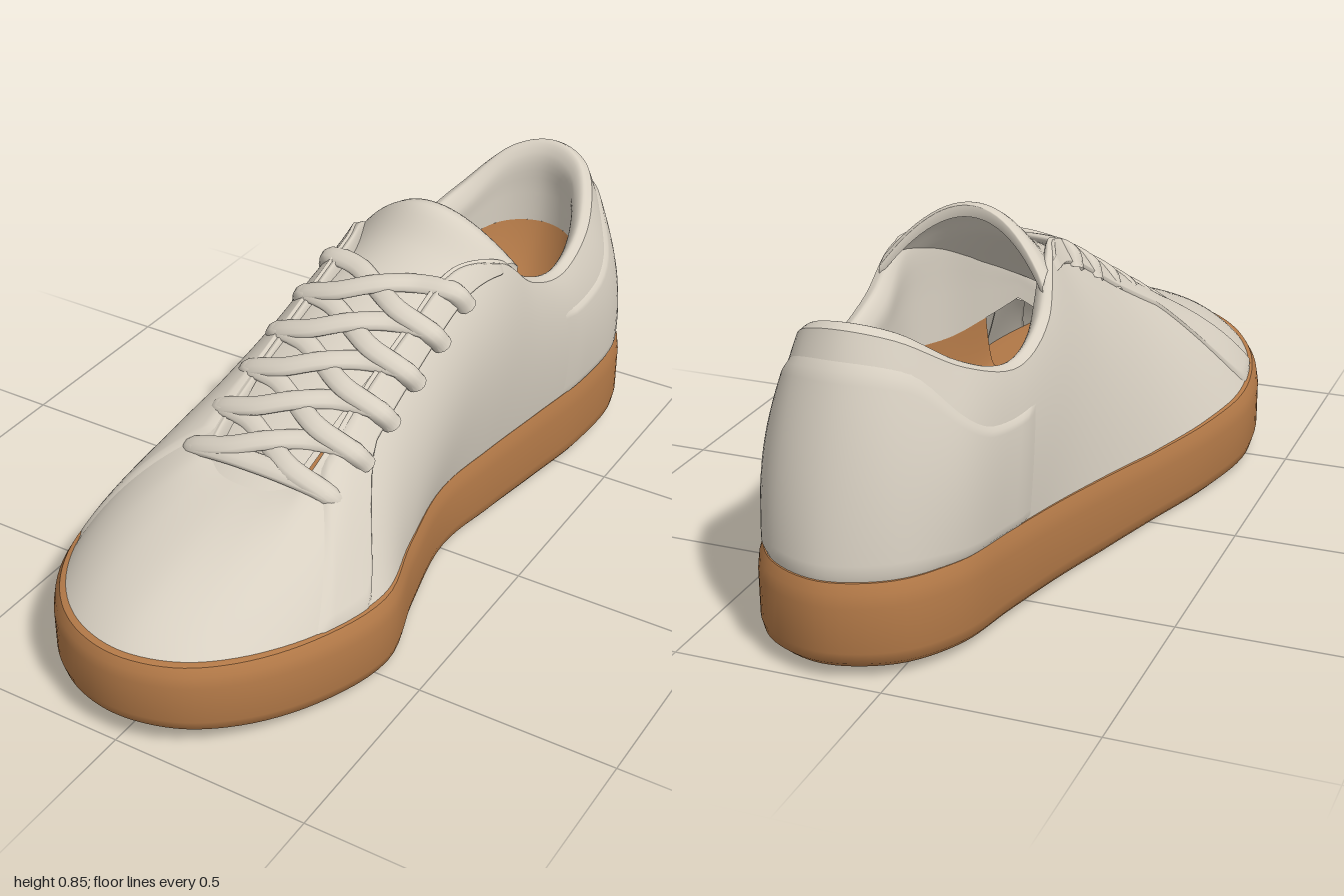
import * as THREE from 'three';
import { mergeVertices, toCreasedNormals } from 'three/addons/utils/BufferGeometryUtils.js';

const V = (x, y, z) => new THREE.Vector3(x, y, z);
const lerp = THREE.MathUtils.lerp;
const smooth = THREE.MathUtils.smoothstep;

// Stations run from toe (first) to heel (last).
// Sole outline: z, left x, right x
const OUTLINE = [
  [1, 0, 0], [0.965, -0.14, 0.14], [0.87, -0.26, 0.25], [0.7, -0.36, 0.348], [0.47, -0.405, 0.402],
  [0.25, -0.37, 0.342], [0, -0.293, 0.29], [-0.2, -0.235, 0.315], [-0.4, -0.185, 0.352],
  [-0.6, -0.145, 0.386], [-0.8, -0.105, 0.382], [-0.94, -0.01, 0.3], [-1, 0.15, 0.15],
];
// Upper at half height: z, left x, right x, y
const MIDDLE = [
  [0.79, 0.01, 0.01, 0.338], [0.755, -0.11, 0.115, 0.337], [0.68, -0.195, 0.2, 0.337], [0.55, -0.26, 0.27, 0.345],
  [0.37, -0.252, 0.275, 0.395], [0.17, -0.215, 0.285, 0.46], [-0.05, -0.182, 0.318, 0.52], [-0.21, -0.175, 0.345, 0.5],
  [-0.37, -0.168, 0.362, 0.44], [-0.57, -0.14, 0.383, 0.42], [-0.77, -0.09, 0.365, 0.45],
  [-0.895, 0.02, 0.275, 0.48], [-0.935, 0.15, 0.15, 0.48],
];
// Edge of the throat and collar opening: z, left x, right x, y
const OPENING = [
  [0.49, 0.03, 0.03, 0.425], [0.488, -0.05, 0.11, 0.426], [0.475, -0.095, 0.16, 0.433], [0.42, -0.11, 0.178, 0.46],
  [0.25, -0.095, 0.19, 0.56], [0.08, -0.075, 0.21, 0.655], [-0.1, -0.055, 0.245, 0.752], [-0.21, -0.095, 0.312, 0.735],
  [-0.33, -0.13, 0.337, 0.632], [-0.5, -0.125, 0.345, 0.582], [-0.68, -0.07, 0.325, 0.638],
  [-0.81, 0.03, 0.25, 0.73], [-0.85, 0.14, 0.14, 0.755],
];
const N = 24; // toe = 0, left side, heel = 12, right side

function loop(stations) {
  const left = stations.map(([z, l, , y = 0]) => V(l, y, z));
  const right = stations.slice(1, -1).reverse().map(([z, , r, y = 0]) => V(r, y, z));
  const curve = new THREE.CatmullRomCurve3([...left, ...right], true);
  return (u) => curve.getPoint((((u % N) + N) % N) / N);
}
const outline = loop(OUTLINE), middle = loop(MIDDLE), opening = loop(OPENING);
const soleBottom = (z) => (z > 0.3 ? 0.06 * ((z - 0.3) / 0.7) ** 2 : z < -0.2 ? 0.03 * (-z - 0.2) / 0.8 : 0);
const soleTop = (z) => 0.19 + (z > 0 ? 0.052 * z * z : 0.046 * Math.min(1, -z * 1.2));

// Outline drawn in towards the centre line by a share k
function insetOutline(u, k) {
  const p = outline(u), q = outline(N - u);
  return V(lerp(p.x, (p.x + q.x) / 2, k), 0, p.z * (1 - 0.4 * Math.min(k, 0.3)));
}

// Surface of points fn(a, b) with a and b from 0 to 1
function grid(fn, na, nb) {
  const pos = [], index = [];
  for (let j = 0; j <= nb; j++) for (let i = 0; i <= na; i++) pos.push(...fn(i / na, j / nb).toArray());
  for (let j = 0; j < nb; j++) for (let i = 0; i < na; i++) {
    const a = j * (na + 1) + i, c = a + na + 1;
    index.push(a, c, a + 1, a + 1, c, c + 1);
  }
  let geo = new THREE.BufferGeometry();
  geo.setAttribute('position', new THREE.Float32BufferAttribute(pos, 3));
  geo.setIndex(index);
  geo = mergeVertices(geo, 1e-5);
  geo.computeVertexNormals();
  return geo;
}

// Outer skin: each rib runs from the sole through the middle to the opening
function skin(u, v) {
  const b = insetOutline(u, 0.05);
  b.y = soleTop(b.z) - 0.012;
  return b.multiplyScalar((2 * v - 1) * (v - 1))
    .addScaledVector(middle(u), 4 * v * (1 - v))
    .addScaledVector(opening(u), v * (2 * v - 1));
}

// Padded rim rolling over into the lining
function lining(u, t) {
  const p = opening(u);
  const inward = V(0.11 - p.x, 0, THREE.MathUtils.clamp(p.z, -0.6, 0.4) - p.z).normalize();
  const k = lerp(0.35, 1, 1 - smooth(Math.abs(u - 12), 4, 6));
  const low = Math.min(p.y - 0.1, 0.46 + 0.07 * smooth(-p.z, 0.5, 0.85));
  const at = (d, y) => V(p.x, y, p.z).addScaledVector(inward, d * k);
  const curve = new THREE.CatmullRomCurve3([
    p, at(0.025, p.y + 0.01 * k), at(0.05, p.y - 0.03), at(0.048, lerp(p.y - 0.03, low, 0.5)), at(0.045, low),
  ]);
  return curve.getPoint(t);
}

// Raised panel following the skin, with edges sinking into it
function panel(u0, u1, lo, hi) {
  return grid((a, b) => {
    const u = lerp(u0, u1, a), v = lerp(lo(u), hi(u), b), e = 0.01;
    const du = skin(u + e, v).sub(skin(u - e, v)), dv = skin(u, v + e).sub(skin(u, v - e));
    const edge = Math.min(a, 1 - a, b, 1 - b);
    return skin(u, v).addScaledVector(dv.cross(du).normalize(), -0.002 + 0.009 * Math.min(1, edge / 0.04));
  }, 50, 20);
}

export function createModel() {
  const shoe = new THREE.Group();
  shoe.name = 'shoe';
  const leather = new THREE.MeshStandardMaterial({ color: 0xd8d0c2, side: THREE.DoubleSide });
  leather.name = 'off-white leather';
  const rubber = new THREE.MeshStandardMaterial({ color: 0xb47a48, side: THREE.DoubleSide });
  rubber.name = 'gum rubber';
  const add = (name, geo, mat, parent = shoe) => {
    const mesh = new THREE.Mesh(geo, mat);
    mesh.name = name;
    parent.add(mesh);
    return mesh;
  };

  // Sole: rings of [inset, height share], closed along the centre line
  const rings = [[1, 0], [0.06, 0], [0.018, 0.07], [0, 0.2], [0, 0.72], [0.012, 0.87], [0.04, 0.98], [0.07, 1], [1, 1]];
  const soleGeo = grid((a, b) => {
    const [k, h] = rings[Math.round(b * (rings.length - 1))];
    const p = insetOutline(a * N, k);
    p.y = lerp(soleBottom(p.z), soleTop(p.z), h);
    return p;
  }, 144, rings.length - 1);
  add('sole', toCreasedNormals(soleGeo, 0.7), rubber);

  // Footbed: a bowl hanging from the lower edge of the lining
  add('insole', grid((a, b) => {
    const p = lining(lerp(5, 19, a), 1);
    const y = lerp(p.y, 0.33, smooth(b, 0, 0.45));
    p.lerp(V(0.08, 0, 0.1), b * b);
    p.y = y;
    return p;
  }, 84, 20), rubber);

  // Upper and lining
  add('upper', grid((a, b) => skin(a * N, b), 168, 28), leather);
  add('collarLining', grid((a, b) => lining(a * N, b), 168, 18), leather);

  // Lace facings, mirrored left and right, and the heel counter
  const facingLow = (d) => lerp(0, lerp(0.66, 0.94, Math.max(0, d - 4.3) / 2.7), smooth(d, 3.7, 4.3));
  add('leftOuterFacing', panel(3, 7, facingLow, () => 1), leather);
  add('rightOuterFacing', panel(N - 7, N - 3, (u) => facingLow(N - u), () => 1), leather);
  add('heelCounter', panel(8.5, 15.5, () => 0, (u) => 0.9 - 0.22 * smooth(Math.abs(u - 12), 1.2, 2.6)), leather);

  // Tongue: centre line with [half width, side drop, side sweep] at each key
  const spine = new THREE.CatmullRomCurve3([
    V(0.03, 0.418, 0.52), V(0.045, 0.575, 0.25), V(0.07, 0.702, 0.01), V(0.1, 0.778, -0.11),
    V(0.11, 0.85, -0.185), V(0.11, 0.849, -0.215),
  ]);
  const flare = new THREE.CatmullRomCurve3([
    V(0.1, 0.01, 0), V(0.125, 0.02, 0), V(0.14, 0.035, 0), V(0.175, 0.075, 0.02),
    V(0.205, 0.13, 0.06), V(0.208, 0.155, 0.068),
  ]);
  add('tongue', grid((a, b) => {
    const under = b > 0.5, t = under ? 2 - 2 * b : 2 * b, s = a * 2 - 1;
    const c = spine.getPoint(t), f = flare.getPoint(t);
    const p = V(c.x + f.x * s, c.y - f.y * s * s, c.z - f.z * s * s);
    return under ? p.add(V(0, -0.028, -0.004)) : p;
  }, 24, 60), leather);

  // Laces lie in the sloping throat plane; the group is squashed to flatten them
  const laces = new THREE.Group();
  laces.name = 'laces';
  laces.position.set(0, 0.44, 0.46);
  laces.rotation.x = 0.516;
  const flat = 0.45, step = 0.117, rows = 5;
  laces.scale.y = flat;
  shoe.add(laces);
  const lace = (name, leftRow, rightRow, lift) => {
    const xl = lerp(-0.172, -0.1, leftRow / rows), xr = lerp(0.24, 0.285, rightRow / rows);
    const zl = -leftRow * step, zr = -rightRow * step;
    const heights = [-0.06, -0.008, 0.012 + lift, 0.016 + lift, 0.012 - lift, -0.008, -0.06];
    const across = [0, 0.08, 0.3, 0.5, 0.7, 0.92, 1];
    const path = new THREE.CatmullRomCurve3(across.map((s, i) =>
      V(lerp(xl, xr, s), heights[i] / flat, lerp(zl, zr, smooth(s, 0.12, 0.88)))));
    add(name, new THREE.TubeGeometry(path, 36, 0.026, 10), leather, laces);
  };
  lace('laceBar', 0, 0, 0);
  for (let i = 0; i < rows; i++) {
    lace('laceRising', i, i + 1, 0.008);
    lace('laceFalling', i + 1, i, -0.006);
  }

  return shoe;
}
